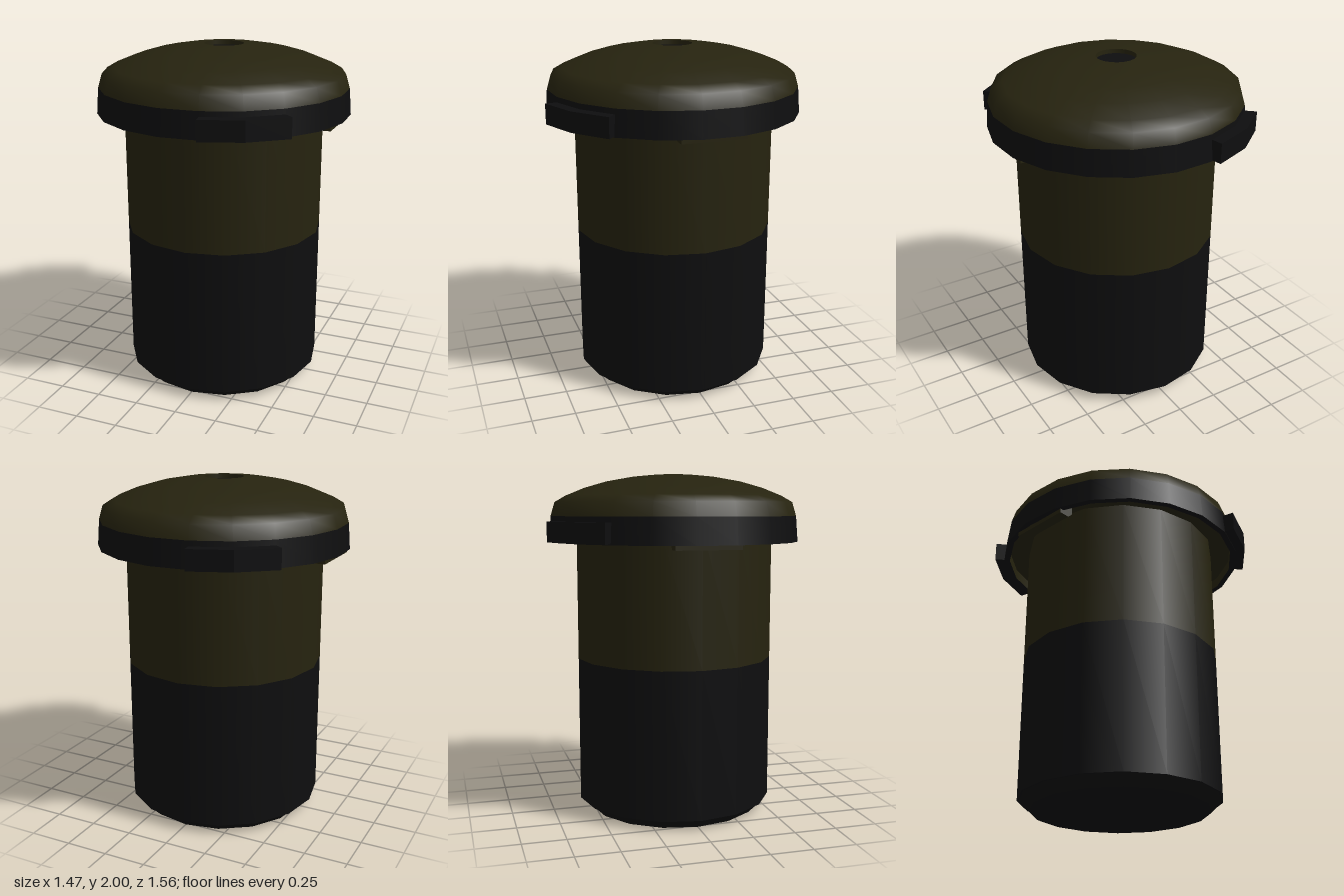
import * as THREE from 'three';

export function createModel() {
  const model = new THREE.Group();
  const black = new THREE.MeshStandardMaterial({ color: 0x0e0e0f });
  black.name = 'black';
  const olive = new THREE.MeshStandardMaterial({ color: 0x26230f });
  olive.name = 'dark olive';

  const add = (name, geometry, material) => {
    const mesh = new THREE.Mesh(geometry, material);
    mesh.name = name;
    model.add(mesh);
    return mesh;
  };
  // Profiles run counterclockwise (up the outside, inwards over the top)
  const turn = (name, points, sides, phase, material) =>
    add(name, new THREE.LatheGeometry(points.map(p => new THREE.Vector2(...p)), sides, phase), material);

  // Body: separate rings keep the edges sharp
  const BODY = 16;
  turn('bodyBase', [[0, 0], [0.515, 0]], BODY, 0, black);
  turn('bodyBevel', [[0.515, 0], [0.575, 0.06]], BODY, 0, black);
  turn('bodyStep', [[0.575, 0.06], [0.585, 0.06]], BODY, 0, black);
  turn('lowerBody', [[0.585, 0.06], [0.585, 0.92]], BODY, 0, black);
  turn('upperBody', [[0.585, 0.92], [0.585, 1.68]], BODY, 0, olive);

  // Lid: hollow rim, dome and a recess in the middle of the top
  const LID = 20, step = Math.PI / 10, phase = THREE.MathUtils.degToRad(11.8);
  turn('lidUnderside', [[0.55, 1.67], [0.705, 1.67]], LID, phase, olive);
  turn('lidInnerWall', [[0.705, 1.67], [0.705, 1.61]], LID, phase, olive);
  turn('lidRimEdge', [[0.705, 1.61], [0.74, 1.61]], LID, phase, black);
  turn('lidRim', [[0.74, 1.61], [0.728, 1.76]], LID, phase, black);
  turn('lidDome', [
    [0.728, 1.76], [0.704, 1.84], [0.64, 1.877], [0.53, 1.922],
    [0.4, 1.96], [0.25, 1.987], [0.115, 2],
  ], LID, phase, olive);
  turn('recessWall', [[0.115, 2], [0.115, 1.975]], LID, phase, olive);
  turn('recessFloor', [[0.115, 1.975], [0, 1.97]], LID, phase, black);

  // Two clips that follow two facets of the rim, on opposite sides
  const clipShape = new THREE.Shape();
  const at = (r, i) => [r * Math.sin(phase + i * step), r * Math.cos(phase + i * step)];
  clipShape.moveTo(...at(0.73, 0));
  [[0.73, 1], [0.73, 2], [0.797, 2], [0.797, 1], [0.797, 0]].forEach(p => clipShape.lineTo(...at(...p)));
  clipShape.closePath();
  const clip = new THREE.ExtrudeGeometry(clipShape, { depth: 0.115, bevelEnabled: false });
  clip.rotateX(Math.PI / 2).translate(0, 1.73, 0);

  // Two lugs under the lid, chamfered towards the body
  const lugShape = new THREE.Shape([
    [0.635, 1.585], [0.698, 1.585], [0.698, 1.67], [0.608, 1.67], [0.608, 1.612],
  ].map(p => new THREE.Vector2(...p)));
  const lug = new THREE.ExtrudeGeometry(lugShape, { depth: 0.37, bevelEnabled: false });
  lug.translate(0, 0, -0.185);

  ['left', 'right'].forEach((side, i) => {
    add(side + 'Clip', clip, black).rotation.y = i * Math.PI;
    add(side + 'Lug', lug, olive).rotation.y = i * Math.PI;
  });

  return model;
}
